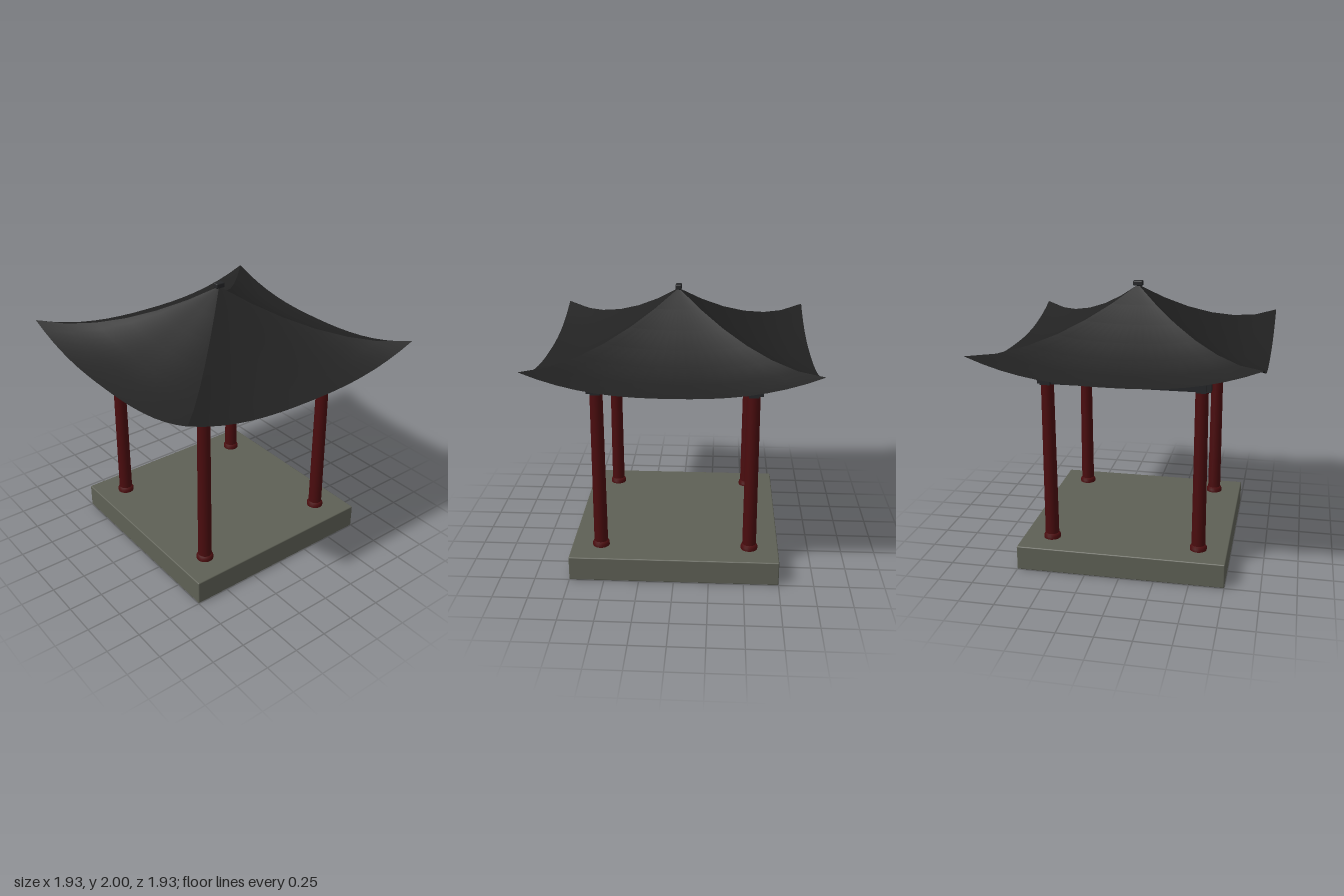
import * as THREE from 'three';
import { RoundedBoxGeometry } from 'three/addons/geometries/RoundedBoxGeometry.js';

const stone = new THREE.MeshStandardMaterial({ name: 'grey stone', color: 0x5e6055 });
const lacquer = new THREE.MeshStandardMaterial({ name: 'dark red lacquer', color: 0x4a0c0e });
const timber = new THREE.MeshStandardMaterial({ name: 'dark timber', color: 0x252628 });
const tile = new THREE.MeshStandardMaterial({ name: 'black tile', color: 0x222222, side: THREE.DoubleSide });

const HALF = 0.965;   // half width of the roof
const POST = 0.54;    // post offset from the centre

// One roof slope: sags from the peak to the eave and lifts toward the corners
function slopeGeometry(rows = 6, cols = 16) {
  const pos = [], idx = [];
  for (let i = 0; i <= rows; i++) {
    const t = i / rows;
    for (let j = 0; j <= cols; j++) {
      const s = (2 * j) / cols - 1;
      const y = 1.475 + 0.495 * (1 - t) ** 1.5 + 0.16 * t * t * Math.abs(s) ** 2.5;
      pos.push(s * t * HALF, y, t * HALF);
      if (i < rows && j < cols) {
        const a = i * (cols + 1) + j, b = a + cols + 1;
        if (i > 0) idx.push(a, b, a + 1);
        idx.push(b, b + 1, a + 1);
      }
    }
  }
  const g = new THREE.BufferGeometry();
  g.setAttribute('position', new THREE.Float32BufferAttribute(pos, 3));
  g.setIndex(idx);
  g.computeVertexNormals();
  return g;
}

export function createModel() {
  const model = new THREE.Group();
  model.name = 'pavilion';
  const add = (name, geometry, material, x, y, z) => {
    const mesh = new THREE.Mesh(geometry, material);
    mesh.name = name;
    mesh.position.set(x, y, z);
    model.add(mesh);
    return mesh;
  };

  // Stone platform with softened edges
  add('platform', new RoundedBoxGeometry(1.5, 0.18, 1.5, 2, 0.008), stone, 0, 0.09, 0);

  // Four tapered posts on flared feet
  const postGeo = new THREE.CylinderGeometry(0.045, 0.05, 1.19, 24);
  const footGeo = new THREE.LatheGeometry(
    [[0.061, 0], [0.061, 0.022], [0.05, 0.042], [0, 0.042]].map(([r, y]) => new THREE.Vector2(r, y)), 24);
  for (const x of [-POST, POST]) for (const z of [-POST, POST]) {
    add('post', postGeo, lacquer, x, 0.77, z);
    add('postFoot', footGeo, lacquer, x, 0.178, z);
  }

  // Crossing perimeter beams, with ends projecting past the posts
  const beamX = new THREE.BoxGeometry(1.21, 0.085, 0.07);
  const beamZ = new THREE.BoxGeometry(0.07, 0.084, 1.21);
  for (const side of [-POST, POST]) {
    add('crossBeam', beamX, timber, 0, 1.402, side);
    add('sideBeam', beamZ, timber, side, 1.402, 0);
  }

  // Central beam resting across the frame
  add('centreBeam', new THREE.BoxGeometry(0.07, 0.065, 1.145), timber, 0, 1.44, 0);

  // Four curved roof slopes
  const slope = slopeGeometry();
  for (let i = 0; i < 4; i++) add('roofSlope', slope, tile, 0, 0, 0).rotation.y = (i * Math.PI) / 2;

  // Small cap on the peak
  add('roofCap', new RoundedBoxGeometry(0.07, 0.037, 0.044, 2, 0.008), timber, 0, 1.9815, 0);
  return model;
}
